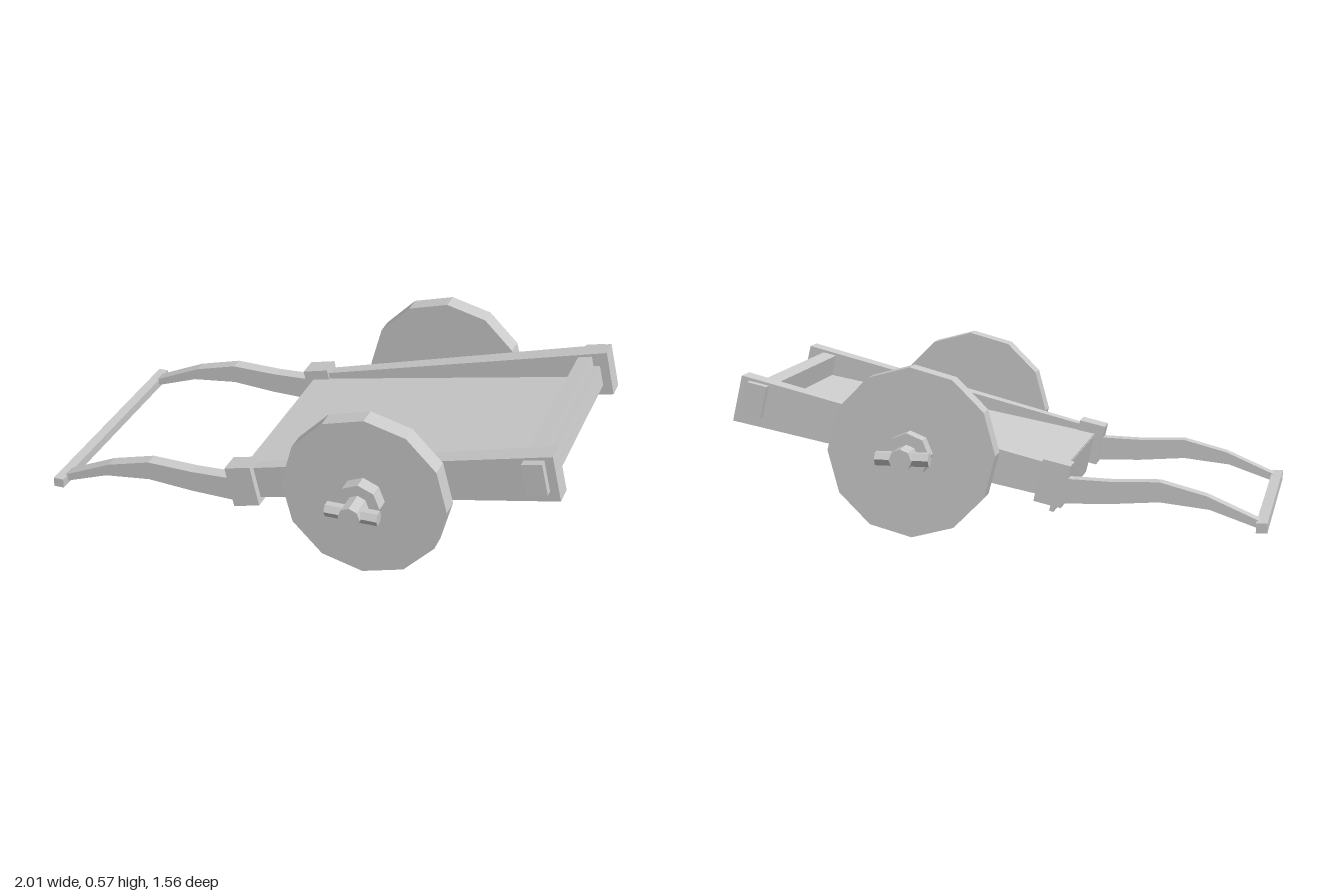
import * as THREE from 'three';

export function createModel() {
  const wood = new THREE.MeshStandardMaterial({ color: 0xcccccc, flatShading: true });
  wood.name = 'paleWood';
  const model = new THREE.Group();
  model.name = 'handCart';

  const add = (parent, name, geometry) => {
    const mesh = new THREE.Mesh(geometry, wood);
    mesh.name = name;
    parent.add(mesh);
    return mesh;
  };
  // Box given by its limits on each axis
  const box = (x0, x1, y0, y1, z0, z1) =>
    new THREE.BoxGeometry(x1 - x0, y1 - y0, z1 - z0)
      .translate((x0 + x1) / 2, (y0 + y1) / 2, (z0 + z1) / 2);
  // Box whose cross-section differs at its two x ends: [y0, y1, z0, z1]
  const taperedBox = (x0, x1, a, b) => {
    const g = new THREE.BoxGeometry(2, 2, 2);
    const p = g.attributes.position;
    for (let i = 0; i < p.count; i++) {
      const end = p.getX(i) < 0 ? a : b;
      p.setXYZ(i, p.getX(i) < 0 ? x0 : x1,
        p.getY(i) < 0 ? end[0] : end[1], p.getZ(i) < 0 ? end[2] : end[3]);
    }
    g.computeVertexNormals();
    return g;
  };
  // Cylinder along z between two depths
  const rod = (radius, z0, z1, sides) =>
    new THREE.CylinderGeometry(radius, radius, Math.abs(z1 - z0), sides)
      .rotateX(Math.PI / 2).translate(0, 0, (z0 + z1) / 2);

  // The cart stands turned on the ground, its bed tilted up from the handles
  const cart = new THREE.Group();
  cart.name = 'cart';
  cart.rotation.y = -0.432;
  model.add(cart);
  const bed = new THREE.Group();
  bed.name = 'bed';
  bed.position.set(0.277, 0.285, 0.004);
  bed.rotation.z = 0.224;
  cart.add(bed);

  // Floor, hanging rear panel and stepped end board
  add(bed, 'floor', taperedBox(-0.488, 0.56, [-0.035, 0.045, -0.348, 0.348], [-0.035, 0.005, -0.348, 0.348]));
  add(bed, 'rearPanel', box(-0.49, -0.475, -0.104, 0.04, -0.345, 0.345));
  add(bed, 'endBoardUpper', box(0.535, 0.585, 0.04, 0.082, -0.348, 0.348));
  add(bed, 'endBoardLower', box(0.535, 0.608, -0.03, 0.045, -0.348, 0.348));

  // Handle outline, seen from the side
  const handleShape = new THREE.Shape([
    [-0.895, 0.055], [-0.706, 0.12], [-0.541, 0.138], [-0.376, 0.125], [-0.2, 0.12],
    [-0.2, 0.205], [-0.376, 0.2], [-0.541, 0.205], [-0.695, 0.165], [-0.88, 0.085],
  ].map(([x, y]) => new THREE.Vector2(x, y)));

  for (const side of [1, -1]) {
    const label = side > 0 ? 'Right' : 'Left';
    const span = (near, far) => (side > 0 ? [near, far] : [-far, -near]);

    // Side rail with the collar that holds the handle, and the end board's tenon
    add(bed, 'sideRail' + label, taperedBox(-0.44, 0.64,
      [-0.046, 0.065, ...span(0.345, 0.392)], [-0.067, 0.093, ...span(0.345, 0.42)]));
    add(bed, 'railCollar' + label, box(-0.52, -0.425, -0.066, 0.08, ...span(0.337, 0.418)));
    add(bed, 'tenon' + label, box(0.54, 0.61, -0.03, 0.082, ...span(0.4, 0.448)));

    // Curved handle
    const handle = new THREE.ExtrudeGeometry(handleShape, { depth: 0.05, bevelEnabled: false });
    add(cart, 'handle' + label, handle.translate(0, 0, side * 0.384 - 0.025));

    // Solid wheel, hub, axle end and linch pin
    const wheel = new THREE.Group();
    wheel.name = 'wheel' + label;
    wheel.position.set(0.277, 0.286, 0.008);
    cart.add(wheel);
    add(wheel, 'wheelDisc', rod(0.286, ...span(0.422, 0.492), 12));
    add(wheel, 'hub', rod(0.076, ...span(0.48, 0.545), 8));
    add(wheel, 'axleEnd', rod(0.038, ...span(0.39, 0.63), 8));
    add(wheel, 'linchPin', new THREE.CylinderGeometry(0.025, 0.025, 0.18, 6)
      .rotateZ(Math.PI / 2).translate(0, 0, side * 0.595));
  }

  // Pull bar joining the handles
  add(cart, 'pullBar', box(-0.897, -0.86, 0.057, 0.09, -0.443, 0.443));

  return model;
}
